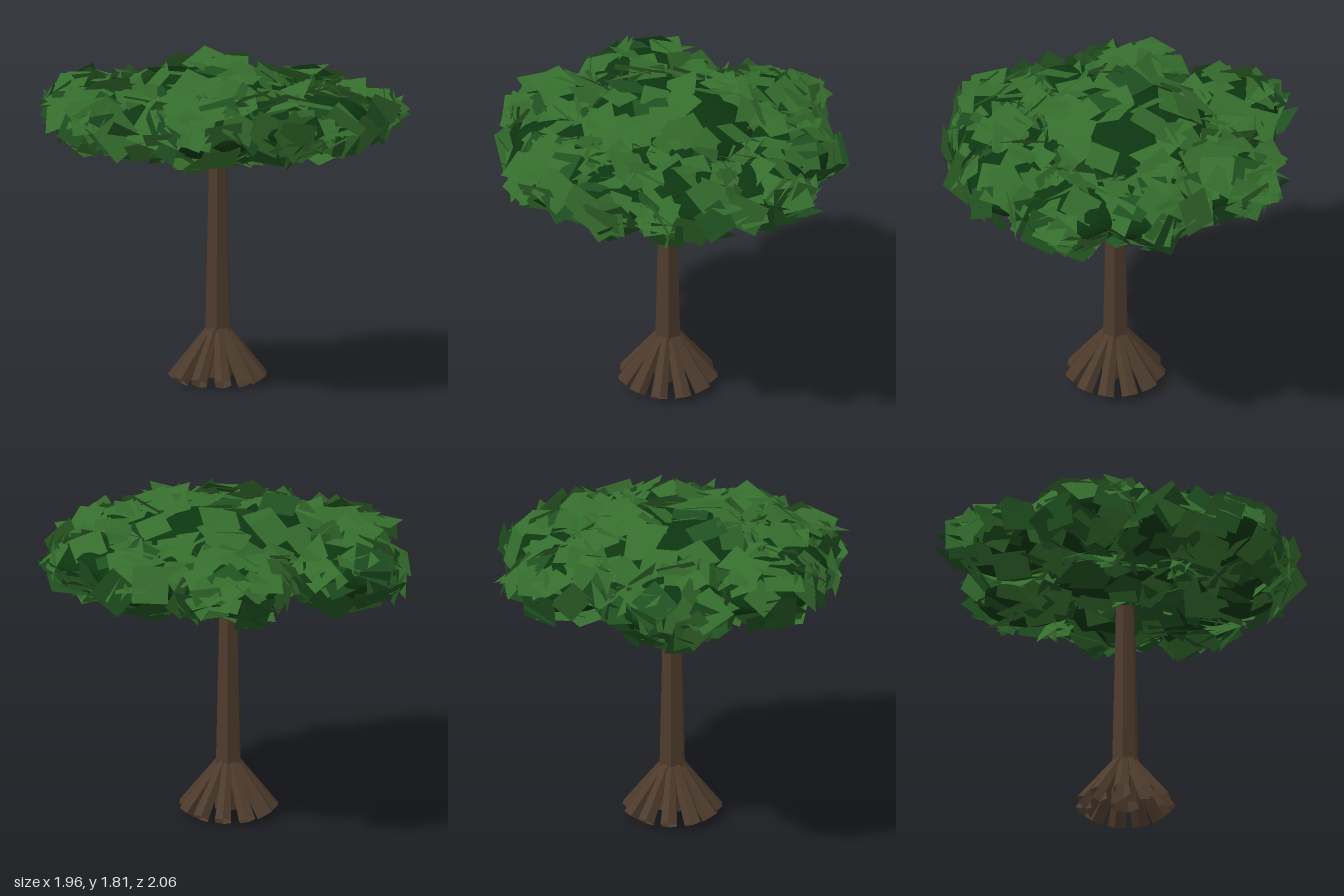
import * as THREE from 'three';

const bark = new THREE.MeshStandardMaterial({ color: 0x4e3c2d, flatShading: true, side: THREE.DoubleSide });
bark.name = 'bark';
const leaf = new THREE.MeshStandardMaterial({ color: 0x356d2d, side: THREE.DoubleSide });
leaf.name = 'leaf green';
const deepLeaf = new THREE.MeshStandardMaterial({ color: 0x1f5020, side: THREE.DoubleSide });
deepLeaf.name = 'deep leaf green';
const shade = new THREE.MeshStandardMaterial({ color: 0x0d3610 });
shade.name = 'inner dark green';

// small seeded generator
let seed = 11;
const rand = () => {
  seed = (seed * 1664525 + 1013904223) % 4294967296;
  return seed / 4294967296;
};
const spread = (a) => (rand() * 2 - 1) * a;

// open tapered limb running from one point to another
function limb(name, from, to, r0, r1) {
  const dir = to.clone().sub(from);
  const geo = new THREE.CylinderGeometry(r1, r0, dir.length(), 6, 1, true);
  geo.rotateY(Math.PI / 12);
  const mesh = new THREE.Mesh(geo, bark);
  mesh.name = name;
  mesh.position.copy(from).add(to).multiplyScalar(0.5);
  mesh.quaternion.setFromUnitVectors(new THREE.Vector3(0, 1, 0), dir.normalize());
  return mesh;
}

// square leaf cards scattered at random over an ellipsoid, roughly tangent to it;
// the deeper green is commoner low down
function leafCards(centre, radii, count) {
  const bright = [], deep = [];
  const facing = new THREE.Vector3(0, 0, 1);
  for (let i = 0; i < count; i++) {
    const y = spread(1);
    const a = rand() * Math.PI * 2;
    const s = Math.sqrt(1 - y * y);
    const dir = new THREE.Vector3(Math.cos(a) * s, y, Math.sin(a) * s);
    const p = dir.clone().multiply(radii).multiplyScalar(1 + spread(0.08)).add(centre);
    const n = dir.divide(radii).normalize();
    n.add(new THREE.Vector3(spread(0.5), spread(0.4), spread(0.5))).normalize();
    const q = new THREE.Quaternion().setFromUnitVectors(facing, n);
    const h = 0.1 + rand() * 0.05;
    const turn = rand() * Math.PI;
    const c = [0, 1, 2, 3].map((k) => {
      const t = turn + k * Math.PI / 2;
      return new THREE.Vector3(Math.cos(t) * h, Math.sin(t) * h, 0).applyQuaternion(q).add(p);
    });
    const list = rand() < (y > 0.2 ? 0.08 : 0.5) ? deep : bright;
    for (const k of [0, 1, 2, 0, 2, 3]) list.push(c[k].x, c[k].y, c[k].z);
  }
  return [[bright, leaf, 'leaves'], [deep, deepLeaf, 'deepLeaves']].map(([points, material, name]) => {
    const geo = new THREE.BufferGeometry();
    geo.setAttribute('position', new THREE.Float32BufferAttribute(points, 3));
    geo.computeVertexNormals();
    const mesh = new THREE.Mesh(geo, material);
    mesh.name = name;
    return mesh;
  });
}

export function createModel() {
  seed = 11;
  const tree = new THREE.Group();
  tree.name = 'tree';

  // trunk and flared roots
  const cx = -0.008, cz = 0.045;
  tree.add(limb('trunk', new THREE.Vector3(cx, 0.05, cz), new THREE.Vector3(cx, 1.23, cz), 0.081, 0.053));
  const rootCount = 11;
  for (let i = 0; i < rootCount; i++) {
    const a = Math.PI / 2 + (i / rootCount) * Math.PI * 2;
    const at = (r, y) => new THREE.Vector3(cx + Math.cos(a) * r, y, cz + Math.sin(a) * r);
    tree.add(limb('root', at(0.235, 0.038), at(0.045, 0.305), 0.05, 0.028));
  }

  // canopy clumps: x, y, z, horizontal radius, half height, leaf count
  const clumps = [
    [0, 1.55, 0, 0.52, 0.2, 130],
    [-0.25, 1.48, -0.6, 0.32, 0.16, 58],
    [0.4, 1.48, -0.46, 0.3, 0.15, 58],
    [0.61, 1.48, 0, 0.3, 0.16, 58],
    [0.54, 1.47, 0.4, 0.32, 0.15, 58],
    [0.22, 1.48, 0.61, 0.32, 0.16, 58],
    [-0.13, 1.48, 0.61, 0.32, 0.16, 58],
    [-0.45, 1.47, 0.5, 0.31, 0.15, 58],
    [-0.55, 1.47, 0.18, 0.31, 0.15, 58],
    [-0.58, 1.48, -0.16, 0.32, 0.16, 58],
  ];
  clumps.forEach(([x, y, z, r, h, count]) => {
    const centre = new THREE.Vector3(x, y, z);
    const clump = new THREE.Group();
    clump.name = 'leafClump';
    const core = new THREE.Mesh(new THREE.SphereGeometry(1, 20, 12), shade);
    core.name = 'clumpCore';
    core.position.copy(centre);
    core.scale.set(r * 0.93, h * 0.9, r * 0.93);
    clump.add(core, ...leafCards(centre, new THREE.Vector3(r, h, r), count));
    tree.add(clump);
  });
  return tree;
}
